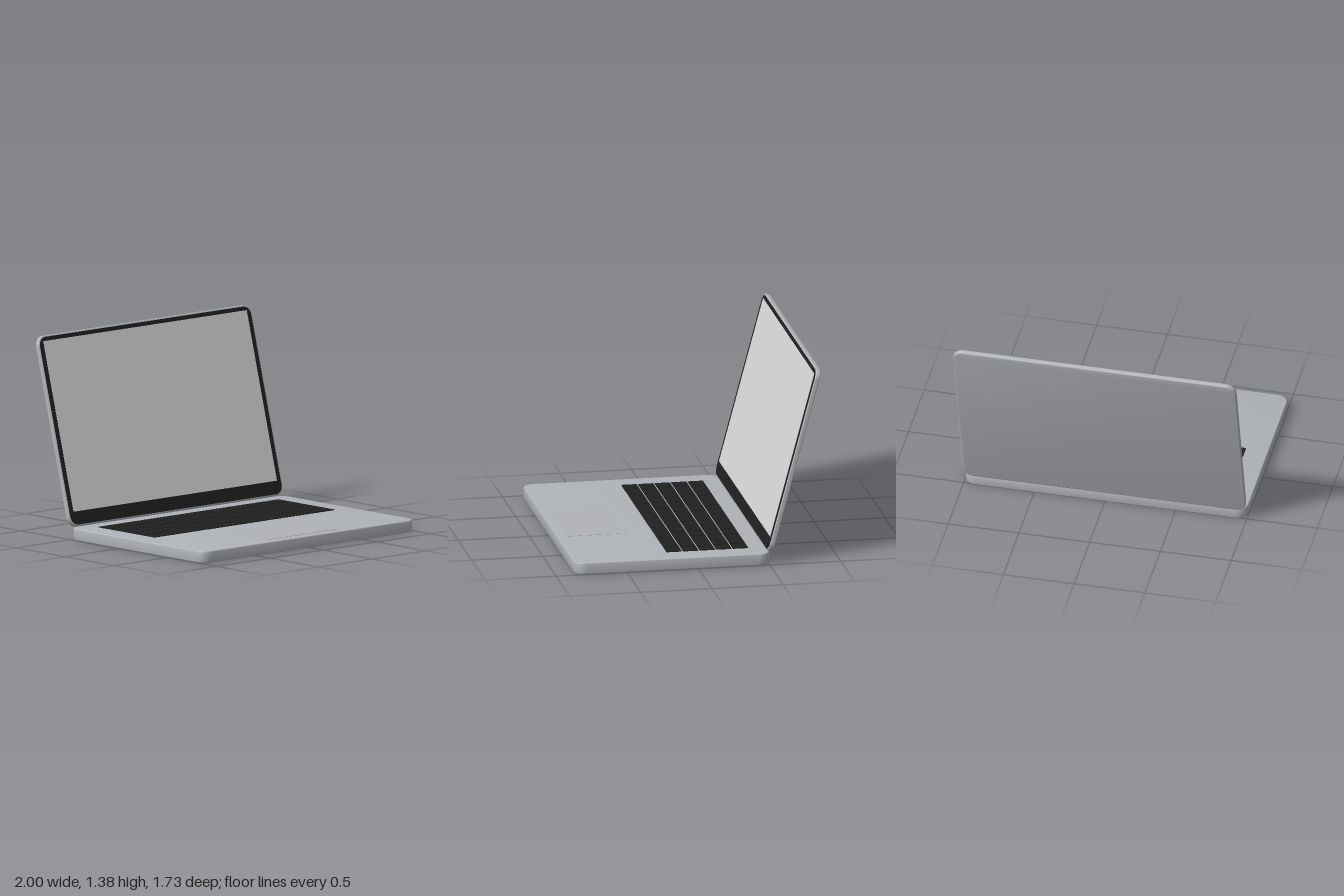
import * as THREE from 'three';
import { toCreasedNormals } from 'three/addons/utils/BufferGeometryUtils.js';

const silver = new THREE.MeshStandardMaterial({ name: 'silver', color: 0xb0b3b8 });
const black = new THREE.MeshStandardMaterial({ name: 'black', color: 0x202020 });
const screenGrey = new THREE.MeshStandardMaterial({ name: 'screenGrey', color: 0xd8d8d8 });

function roundedRect(w, h, r) {
  const x = w / 2, y = h / 2, s = new THREE.Shape();
  s.absarc(x - r, y - r, r, 0, Math.PI / 2);
  s.absarc(-x + r, y - r, r, Math.PI / 2, Math.PI);
  s.absarc(-x + r, -y + r, r, Math.PI, Math.PI * 1.5);
  s.absarc(x - r, -y + r, r, Math.PI * 1.5, Math.PI * 2);
  s.closePath();
  return s;
}

// Rounded slab with softened edges, centred, thickness along z
function slab(w, h, t, r, bevel) {
  const geo = new THREE.ExtrudeGeometry(roundedRect(w - 2 * bevel, h - 2 * bevel, r - bevel), {
    depth: t - 2 * bevel, bevelEnabled: bevel > 0, bevelSize: bevel,
    bevelThickness: bevel, bevelSegments: 3, curveSegments: 10,
  });
  geo.translate(0, 0, -(t - 2 * bevel) / 2);
  return toCreasedNormals(geo, 0.6);
}

function add(parent, name, geo, mat, x = 0, y = 0, z = 0) {
  const mesh = new THREE.Mesh(geo, mat);
  mesh.name = name;
  mesh.position.set(x, y, z);
  parent.add(mesh);
  return mesh;
}

export function createModel() {
  const model = new THREE.Group();
  model.name = 'laptop';

  // Base body
  const baseH = 0.083, baseBack = -0.51, baseFront = 0.865;
  const baseGeo = slab(2, baseFront - baseBack, baseH, 0.08, 0.008).rotateX(-Math.PI / 2);
  add(model, 'base', baseGeo, silver, 0, baseH / 2, (baseFront + baseBack) / 2);

  // Keyboard: five rows of fourteen, with a five-wide space bar in the last row
  const keyboard = new THREE.Group();
  keyboard.name = 'keyboard';
  model.add(keyboard);
  const pitchX = 0.121, pitchZ = 0.1165, gap = 0.01, keyH = 0.008;
  for (let row = 0; row < 5; row++) {
    for (let col = 0; col < 14; col++) {
      const span = row === 4 && col === 4 ? 5 : 1;
      const x = (col + span / 2 - 7) * pitchX;
      const geo = new THREE.BoxGeometry(span * pitchX - gap, keyH, pitchZ - gap);
      add(keyboard, span > 1 ? 'spaceBar' : 'key', geo, black, x, baseH + 0.001, -0.325 + row * pitchZ);
      col += span - 1;
    }
  }

  // Trackpad plate
  add(model, 'trackpad', new THREE.BoxGeometry(0.66, 0.004, 0.415), silver, 0, baseH, 0.583);

  // Lid, hinged at the back edge and leaning back
  const lidH = 1.34, lidT = 0.034;
  const lid = new THREE.Group();
  lid.name = 'lid';
  lid.position.set(0, 0.083, -0.505);
  lid.rotation.x = -THREE.MathUtils.degToRad(15);
  model.add(lid);
  add(lid, 'lidShell', slab(2, lidH, lidT, 0.075, 0.008), silver, 0, lidH / 2, 0);
  add(lid, 'bezel', slab(1.976, lidH - 0.024, 0.004, 0.063, 0), black, 0, lidH / 2, lidT / 2);
  add(lid, 'screen', new THREE.BoxGeometry(1.904, 1.196, 0.004), screenGrey, 0, 0.702, lidT / 2 + 0.002);

  return model;
}
